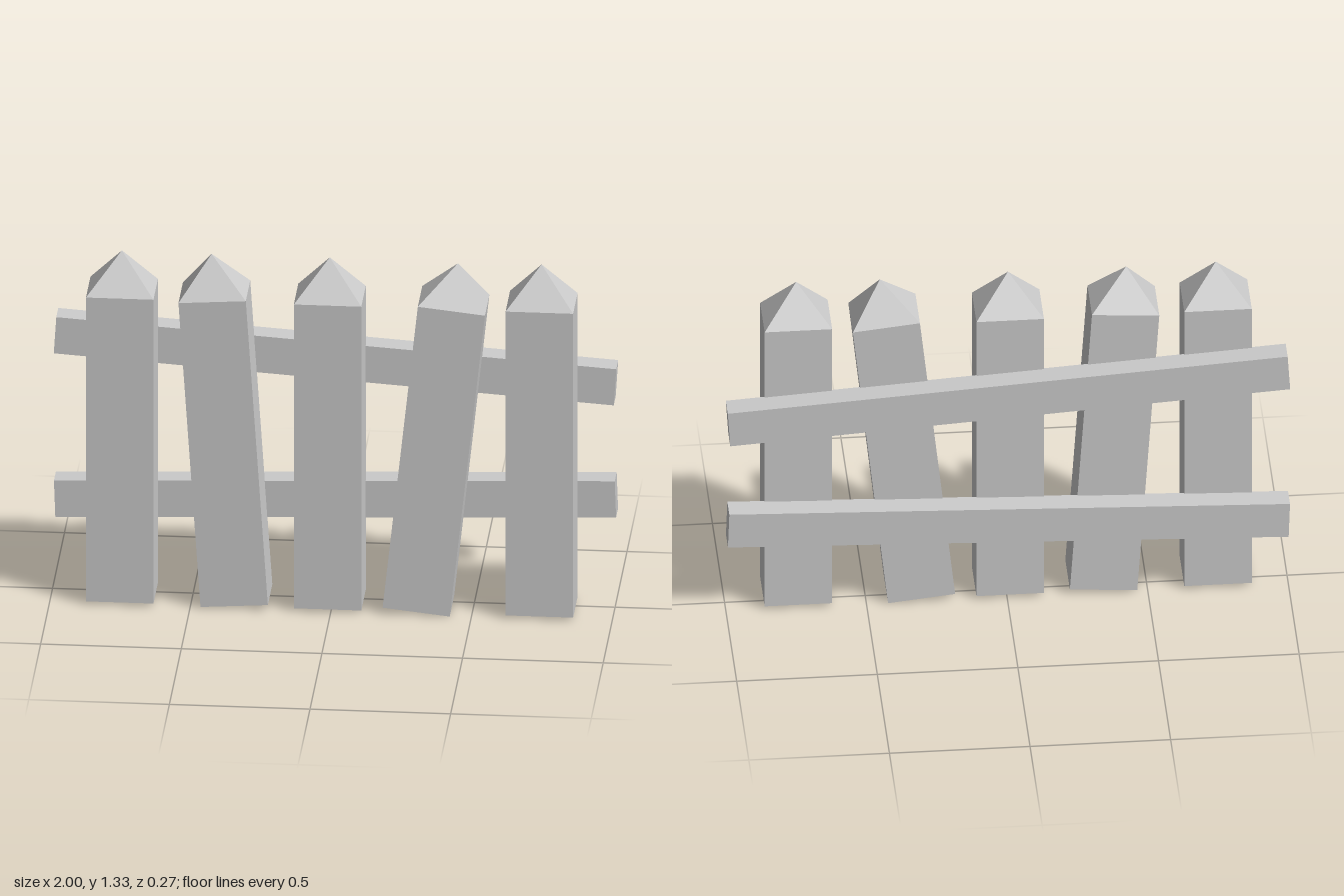
import * as THREE from 'three';

const material = new THREE.MeshStandardMaterial({ color: 0xcccccc, flatShading: true });

const WIDTH = 0.24, DEPTH = 0.188, SHAFT = 1.172, TIP = 0.146;

// Square picket with a pyramid point, origin at the centre of its foot
function makePicket(name, x, y, tilt) {
  const picket = new THREE.Group();
  picket.name = name;

  const shaft = new THREE.Mesh(new THREE.BoxGeometry(WIDTH, SHAFT, DEPTH), material);
  shaft.name = 'picketShaft';
  shaft.position.y = SHAFT / 2;

  // four-sided cone turned to a unit square base, then stretched to the shaft
  const pointGeometry = new THREE.ConeGeometry(Math.SQRT1_2, TIP, 4, 1, true)
    .rotateY(Math.PI / 4)
    .scale(WIDTH, 1, DEPTH);
  const point = new THREE.Mesh(pointGeometry, material);
  point.name = 'picketPoint';
  point.position.y = SHAFT + TIP / 2;

  picket.add(shaft, point);
  picket.position.set(x, y, 0.039);
  picket.rotation.z = tilt;
  return picket;
}

// Long plank behind the pickets
function makeRail(name, y, tilt) {
  const rail = new THREE.Mesh(new THREE.BoxGeometry(1.995, 0.14, 0.083), material);
  rail.name = name;
  rail.position.set(0, y, -0.0915);
  rail.rotation.z = tilt;
  return rail;
}

export function createModel() {
  const fence = new THREE.Group();
  fence.name = 'picketFence';

  // foot x, foot y, lean
  const pickets = [
    [-0.75, 0.015, 0],
    [-0.343, 0.016, 0.067],
    [-0.011, 0.015, 0],
    [0.304, 0.016, -0.107],
    [0.742, 0.015, 0],
  ];
  pickets.forEach(([x, y, tilt], i) => fence.add(makePicket(`picket${i + 1}`, x, y, tilt)));

  fence.add(makeRail('upperRail', 0.894, -0.0645));
  fence.add(makeRail('lowerRail', 0.3625, 0.035));
  return fence;
}
